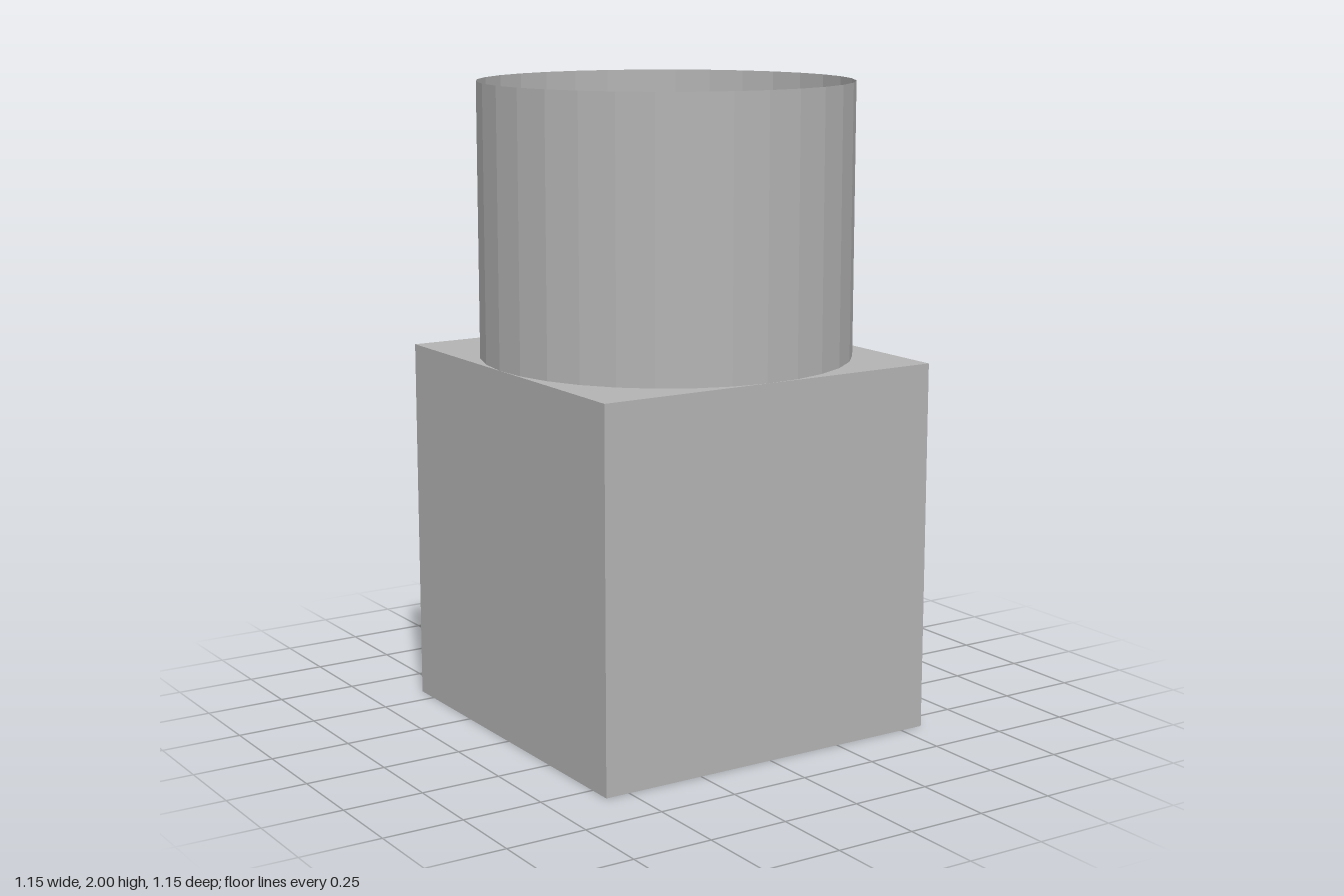
import * as THREE from 'three';

export function createModel() {
  const model = new THREE.Group();
  const size = 1.155, height = 2;

  const grey = new THREE.MeshStandardMaterial({ color: 0xb4b4b4, flatShading: true, side: THREE.DoubleSide });
  grey.name = 'grey';

  // Solid cube base
  const base = new THREE.Mesh(new THREE.BoxGeometry(size, size, size), grey);
  base.name = 'base';
  base.position.y = size / 2;
  model.add(base);

  // Thin open tube, as wide as the cube, standing on its top face
  const tubeHeight = height - size;
  const tube = new THREE.Mesh(
    new THREE.CylinderGeometry(size / 2, size / 2, tubeHeight, 32, 1, true), grey);
  tube.name = 'tube';
  tube.position.y = size + tubeHeight / 2;
  tube.rotation.y = THREE.MathUtils.degToRad(-2.25);
  model.add(tube);

  return model;
}
